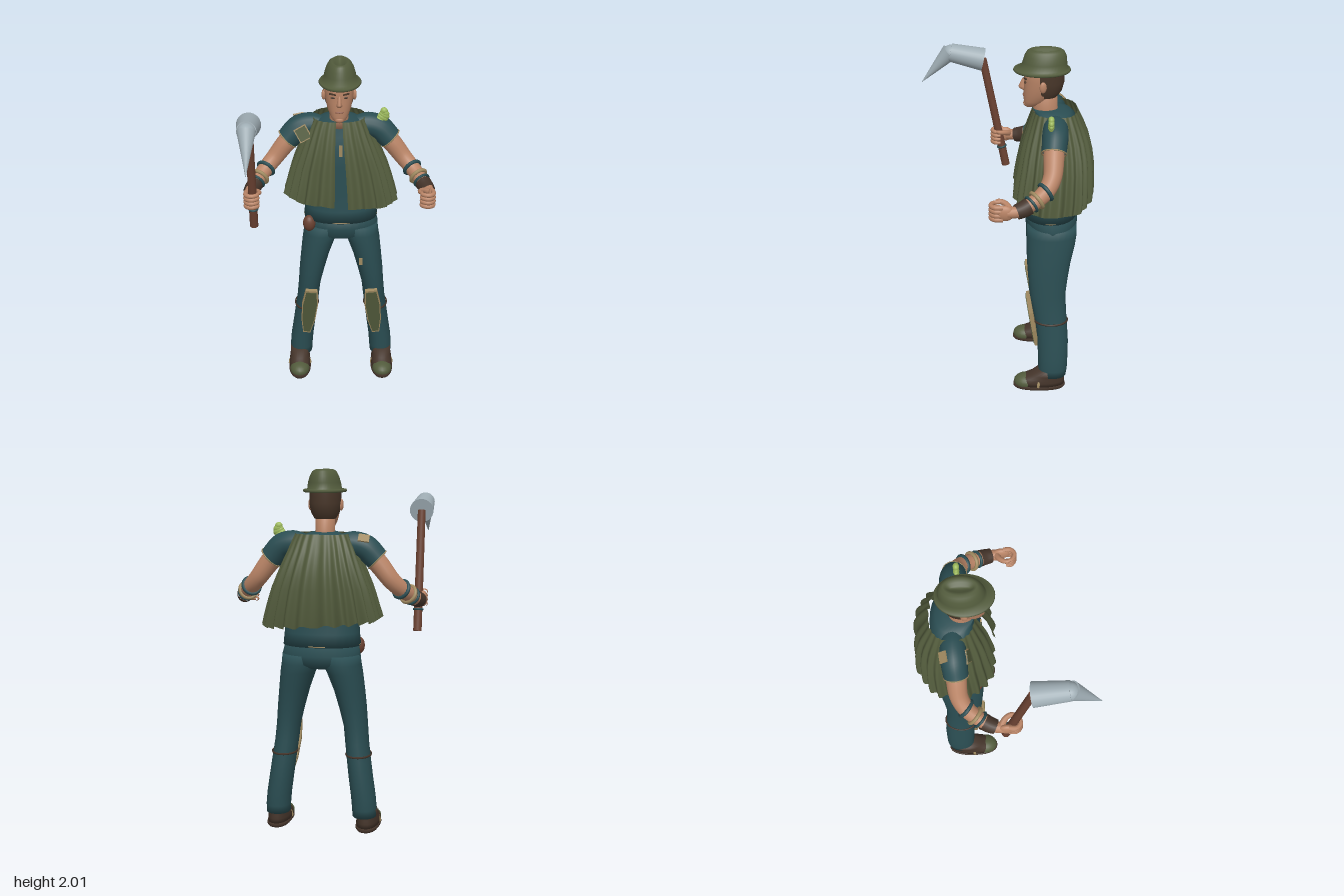
import * as THREE from 'three';

const mat = (name, color) => Object.assign(new THREE.MeshStandardMaterial({ color }), { name });
const V = (x, y, z) => new THREE.Vector3(x, y, z);

// Skin through horizontal rings [y, centreX, centreZ, radiusX, radiusZ]; angle 0 faces +z
function loft(rings, { n = 28, p = 1, a0 = 0, a1 = Math.PI * 2, shape } = {}) {
  const open = a1 - a0 < 6.28, cols = open ? n + 1 : n;
  const pos = [], idx = [];
  const bend = (v) => Math.sign(v) * Math.abs(v) ** p;
  rings.forEach(([y, cx, cz, rx, rz], j) => {
    for (let i = 0; i < cols; i++) {
      const a = a0 + (a1 - a0) * i / n;
      const q = V(cx + rx * bend(Math.sin(a)), y, cz + rz * bend(Math.cos(a)));
      if (shape) shape(q, a, j / (rings.length - 1));
      pos.push(q.x, q.y, q.z);
    }
  });
  for (let j = 0; j < rings.length - 1; j++) for (let i = 0; i < n; i++) {
    const k = (i + 1) % cols, A = j * cols + i, B = j * cols + k, C = A + cols, D = B + cols;
    idx.push(A, B, D, A, D, C);
  }
  if (!open) [0, rings.length - 1].forEach((j) => {
    const c = pos.length / 3, [y, cx, cz] = rings[j];
    pos.push(cx, y, cz);
    for (let i = 0; i < n; i++) {
      const A = j * cols + i, B = j * cols + (i + 1) % n;
      j ? idx.push(A, B, c) : idx.push(B, A, c);
    }
  });
  const g = new THREE.BufferGeometry();
  g.setAttribute('position', new THREE.Float32BufferAttribute(pos, 3));
  g.setIndex(idx);
  g.computeVertexNormals();
  return g;
}

// Tube along points whose radius changes from point to point
function sweep(points, radii, n = 24, sides = 16) {
  const curve = new THREE.CatmullRomCurve3(points);
  const g = new THREE.TubeGeometry(curve, n, 1, sides), P = g.attributes.position;
  for (let i = 0; i <= n; i++) {
    const c = curve.getPointAt(i / n), t = curve.getUtoTmapping(i / n) * (radii.length - 1);
    const k = Math.min(Math.floor(t), radii.length - 2);
    const r = THREE.MathUtils.lerp(radii[k], radii[k + 1], t - k);
    for (let j = 0; j <= sides; j++) {
      const m = i * (sides + 1) + j, q = V().fromBufferAttribute(P, m).sub(c).multiplyScalar(r).add(c);
      P.setXYZ(m, q.x, q.y, q.z);
    }
  }
  return g;
}

export function createModel() {
  const model = new THREE.Group();
  const teal = mat('teal cloth', 0x2a4d52), olive = mat('olive cloth', 0x525b3c), skin = mat('skin', 0xb98466);
  const hair = mat('hair', 0x49372a), brown = mat('dark leather', 0x44342a), wood = mat('wood', 0x6b4232);
  const steel = mat('steel', 0x9fadb4), tan = mat('tan trim', 0xa08a60), lime = mat('lime', 0x9dba5c);
  const lip = mat('lips', 0x8f5d4a);
  [teal, olive, hair, brown].forEach((m) => { m.side = THREE.DoubleSide; });

  const add = (name, geo, m, pos = [0, 0, 0], rot = [0, 0, 0], scale = [1, 1, 1]) => {
    const o = new THREE.Mesh(geo, m);
    o.name = name;
    o.position.set(...pos); o.rotation.set(...rot); o.scale.set(...scale);
    model.add(o);
    return o;
  };
  const ball = (name, m, pos, scale, rot) => add(name, new THREE.SphereGeometry(1, 20, 14), m, pos, rot, scale);
  const box = (name, m, size, pos, rot) => add(name, new THREE.BoxGeometry(...size), m, pos, rot);
  const ring = (name, m, at, dir, R, r) =>
    add(name, new THREE.TorusGeometry(R, r, 8, 28), m, at.toArray()).quaternion
      .setFromUnitVectors(V(0, 0, 1), dir.clone().normalize());
  const rod = (name, m, a, b, r0, r1) => {
    const o = add(name, new THREE.CylinderGeometry(r1, r0, a.distanceTo(b), 28), m, a.clone().lerp(b, 0.5).toArray());
    o.quaternion.setFromUnitVectors(V(0, 1, 0), b.clone().sub(a).normalize());
  };

  // Shirt and trouser seat
  add('shirt', loft([[1.05, 0.01, -0.245, 0.215, 0.155], [1.12, 0.01, -0.245, 0.208, 0.147], [1.25, 0.005, -0.245, 0.198, 0.138],
    [1.4, 0, -0.245, 0.198, 0.14], [1.5, 0, -0.25, 0.19, 0.135], [1.57, 0, -0.257, 0.18, 0.125], [1.62, 0, -0.262, 0.158, 0.115],
    [1.65, 0, -0.25, 0.11, 0.1], [1.665, 0, -0.225, 0.07, 0.085]], { p: 0.9 }), teal);
  add('shirtHem', new THREE.TorusGeometry(1, 0.012, 6, 48), tan, [0.01, 1.055, -0.245], [Math.PI / 2, 0, 0], [0.213, 0.154, 0.25]);
  add('trouserSeat', loft([[0.925, 0.0125, -0.25, 0.15, 0.1], [0.95, 0.0125, -0.253, 0.215, 0.142],
    [1.0, 0.0125, -0.256, 0.217, 0.148], [1.07, 0.01, -0.247, 0.203, 0.148]]), teal);
  ball('beltPouch', wood, [-0.175, 1.03, -0.15], [0.037, 0.05, 0.035]);
  box('chestPatch', tan, [0.018, 0.07, 0.006], [0.008, 1.5, -0.113]);
  box('thighPatch', tan, [0.022, 0.045, 0.006], [0.128, 0.785, -0.124]);

  // Pleated cape, open down the front
  const capeRings = [[1.175, 0.01, -0.255, 0.318, 0.215], [1.23, 0.01, -0.26, 0.305, 0.215], [1.3, 0.008, -0.265, 0.287, 0.21],
    [1.37, 0.006, -0.27, 0.267, 0.203], [1.44, 0.004, -0.272, 0.24, 0.193], [1.51, 0.002, -0.272, 0.212, 0.176],
    [1.57, 0, -0.27, 0.187, 0.155], [1.62, 0, -0.267, 0.167, 0.136], [1.66, 0, -0.265, 0.148, 0.12]];
  add('cape', loft(capeRings, { n: 240, p: 0.8, a0: 0.07, a1: Math.PI * 2 - 0.07, shape: (q, a, t) => {
    const low = 1 - t, wave = Math.cos(a * 23) + 0.35 * Math.sin(a * 9 + 1);
    q.x += Math.sin(a) * wave * (0.002 + 0.013 * low);
    q.z += Math.cos(a) * wave * (0.002 + 0.013 * low);
    q.y += low * low * (-0.07 * q.x + 0.009 * Math.cos(a * 23));
  } }), olive);

  // Neck, head and face
  add('neck', loft([[1.62, 0, -0.22, 0.065, 0.075], [1.67, 0, -0.21, 0.053, 0.068], [1.76, 0, -0.205, 0.053, 0.068]]), skin);
  add('head', loft([[1.672, 0, -0.128, 0.018, 0.022], [1.685, 0, -0.135, 0.036, 0.042], [1.71, 0, -0.155, 0.053, 0.062],
    [1.75, 0, -0.178, 0.068, 0.088], [1.79, 0, -0.192, 0.077, 0.1], [1.83, 0, -0.198, 0.081, 0.106],
    [1.88, 0, -0.2, 0.082, 0.108], [1.93, 0, -0.2, 0.068, 0.095]], { p: 0.92 }), skin);
  add('hair', loft([[1.735, 0, -0.205, 0.058, 0.068], [1.77, 0, -0.203, 0.077, 0.096], [1.82, 0, -0.2, 0.086, 0.112],
    [1.9, 0, -0.2, 0.086, 0.113]], { p: 0.92, a0: 1.4, a1: Math.PI * 2 - 1.4 }), hair);
  add('nose', loft([[1.768, 0, -0.096, 0.01, 0.008], [1.78, 0, -0.09, 0.017, 0.024], [1.79, 0, -0.09, 0.014, 0.026],
    [1.835, 0, -0.096, 0.008, 0.012]], { n: 14 }), skin);
  ball('mouth', lip, [0, 1.74, -0.093], [0.025, 0.006, 0.006]);
  ball('chin', skin, [0, 1.692, -0.105], [0.025, 0.018, 0.015]);
  for (const s of [-1, 1]) {
    ball('eye', hair, [s * 0.035, 1.823, -0.1], [0.014, 0.005, 0.006]);
    box('eyebrow', hair, [0.038, 0.008, 0.009], [s * 0.037, 1.844, -0.1], [0, s * 0.25, s * 0.12]);
    ball('ear', skin, [s * 0.085, 1.81, -0.195], [0.012, 0.032, 0.02], [0, s * 0.3, 0]);
  }

  // Hat with brim and dented crown
  add('hat', loft([[1.875, 0.005, -0.19, 0.085, 0.115], [1.878, 0.005, -0.19, 0.113, 0.151], [1.885, 0.005, -0.19, 0.119, 0.156],
    [1.893, 0.005, -0.19, 0.115, 0.152], [1.897, 0.005, -0.2, 0.093, 0.126], [1.93, 0.005, -0.204, 0.088, 0.12],
    [1.965, 0.005, -0.207, 0.077, 0.113], [1.99, 0.005, -0.208, 0.063, 0.1], [2.0, 0.005, -0.208, 0.046, 0.085],
    [1.99, 0.005, -0.208, 0.027, 0.068], [1.975, 0.005, -0.208, 0.012, 0.05]], { n: 40 }), olive);

  // Arms, sleeves, bracelets and gripping hands
  for (const s of [-1, 1]) {
    const W = (x, y, z) => V(s * x, y, z);
    add('sleeve', sweep([W(0.08, 1.595, -0.26), W(0.16, 1.605, -0.262), W(0.23, 1.585, -0.258), W(0.295, 1.52, -0.25)],
      [0.05, 0.068, 0.071, 0.066]), teal);
    ring('sleeveTrim', tan, W(0.295, 1.52, -0.25), W(0.7, -0.7, 0.08), 0.065, 0.004);
    add('arm', sweep([W(0.22, 1.58, -0.255), W(0.3, 1.5, -0.25), W(0.37, 1.41, -0.24), W(0.425, 1.352, -0.2),
      W(0.47, 1.31, -0.13), W(0.502, 1.283, -0.06), W(0.51, 1.28, 0)], [0.056, 0.056, 0.05, 0.046, 0.04, 0.032, 0.03], 36), skin);
    const along = W(0.075, -0.07, 0.12);
    ring('tealBracelet', teal, W(0.42, 1.357, -0.205), along, 0.048, 0.011);
    ring('tanBracelet', tan, W(0.453, 1.325, -0.158), along, 0.047, 0.011);
    ring('thinBracelet', teal, W(0.47, 1.31, -0.13), along, 0.044, 0.008);
    add('wristCuff', sweep([W(0.478, 1.302, -0.115), W(0.492, 1.29, -0.085), W(0.504, 1.281, -0.05)], [0.047, 0.045, 0.041], 8), brown);
    ball('palm', skin, [s * 0.517, 1.28, 0.01], [0.022, 0.044, 0.05]);
    for (let i = 0; i < 4; i++) {
      const y = 1.246 + i * 0.023;
      add('finger', sweep([W(0.522, y, 0.02), W(0.522, y, 0.063), W(0.495, y, 0.084), W(0.46, y, 0.066), W(0.458, y, 0.035)],
        [0.014, 0.0135, 0.013, 0.012, 0.008], 16, 8), skin);
    }
    add('thumb', sweep([W(0.505, 1.29, -0.02), W(0.465, 1.31, 0.005), W(0.448, 1.318, 0.04), W(0.456, 1.32, 0.06)],
      [0.02, 0.016, 0.013, 0.008], 12, 8), skin);
  }
  box('shoulderPatchTrim', tan, [0.075, 0.085, 0.006], [-0.205, 1.578, -0.184], [-0.25, 0, 0.5]);
  box('shoulderPatch', olive, [0.063, 0.073, 0.009], [-0.205, 1.578, -0.182], [-0.25, 0, 0.5]);
  box('backShoulderPatch', tan, [0.06, 0.008, 0.05], [-0.23, 1.64, -0.312], [-0.75, 0, 0.2]);

  // Plump segmented grub on the left shoulder
  for (let i = 0; i < 6; i++) {
    const t = i / 5, w = 0.016 + 0.017 * Math.sin(Math.PI * (0.15 + 0.75 * t));
    ball('grubSegment', lime, [0.22 + 0.038 * Math.sin(t * 2), 1.628 + 0.066 * t, -0.235], [w, 0.02, 0.017], [0, 0, -0.5]);
  }

  // Pick held in the right hand
  const px = -0.486;
  rod('pickHandle', wood, V(px, 1.095, 0.005), V(px, 1.765, 0.138), 0.024, 0.022);
  ring('handleBand', teal, V(px, 1.215, 0.029), V(0, 0.67, 0.133), 0.024, 0.006);
  rod('pickHead', steel, V(px, 1.763, 0.135), V(px, 1.805, 0.325), 0.067, 0.053);
  ball('pickJoint', steel, [px, 1.8, 0.322], [0.05, 0.05, 0.05]);
  rod('pickSpike', steel, V(px, 1.808, 0.328), V(px, 1.625, 0.495), 0.051, 0.001);

  // Legs, knee pads and shoes
  const padShape = (k) => new THREE.Shape([[-0.036, 0.165], [0.036, 0.165], [0.048, 0.06], [0.042, -0.06], [0.022, -0.165],
    [-0.022, -0.165], [-0.042, -0.06], [-0.048, 0.06]].map(([x, y]) => new THREE.Vector2(x * k, y * (k + 1) / 2)));
  const pad = (k, depth) => new THREE.ExtrudeGeometry(padShape(k), { depth, bevelEnabled: false });
  for (const s of [-1, 1]) {
    const c = (x) => 0.0125 + s * x;
    add('trouserLeg', loft([[0.085, c(0.247), -0.268, 0.066, 0.08], [0.13, c(0.246), -0.27, 0.068, 0.084], [0.2, c(0.24), -0.27, 0.068, 0.086],
      [0.3, c(0.226), -0.268, 0.067, 0.089], [0.4, c(0.213), -0.26, 0.066, 0.09], [0.5, c(0.2), -0.246, 0.065, 0.096],
      [0.6, c(0.19), -0.234, 0.066, 0.103], [0.7, c(0.174), -0.236, 0.075, 0.113], [0.8, c(0.155), -0.24, 0.084, 0.125],
      [0.9, c(0.131), -0.25, 0.097, 0.138], [0.95, c(0.115), -0.254, 0.105, 0.142], [1.0, c(0.11), -0.255, 0.105, 0.14]], { p: 0.93 }), teal);
    const tilt = [0.165, 0, s * 0.105];
    add('kneePadTrim', pad(1, 0.024), tan, [c(0.195), 0.43, -0.162], tilt);
    add('kneePad', pad(0.86, 0.028), olive, [c(0.195), 0.43, -0.162], tilt);
    add('kneeStrap', new THREE.TorusGeometry(1, 0.06, 6, 32), brown, [c(0.21), 0.435, -0.255], [Math.PI / 2, 0, 0], [0.07, 0.095, 0.1]);

    const x = 0.01 + s * 0.255;
    add('sole', loft([[0.002, x, -0.192, 0.06, 0.146], [0.012, x, -0.192, 0.068, 0.153], [0.026, x, -0.192, 0.066, 0.151]], { p: 0.85 }), brown);
    add('shoe', loft([[0.024, x, -0.193, 0.064, 0.147], [0.05, x, -0.197, 0.064, 0.143], [0.07, x, -0.214, 0.061, 0.125],
      [0.09, x, -0.236, 0.057, 0.1], [0.125, x, -0.26, 0.058, 0.08]], { p: 0.9 }), brown);
    ball('toeCap', olive, [x, 0.035, -0.115], [0.06, 0.046, 0.072]);
    ball('tongue', olive, [x, 0.075, -0.17], [0.034, 0.028, 0.055], [0.5, 0, 0]);
    add('shoeStrap', new THREE.TorusGeometry(0.062, 0.006, 6, 20, Math.PI), tan, [x, 0.027, -0.185], [-0.1, 0, 0], [1.05, 1.1, 1.5]);
  }
  return model;
}
